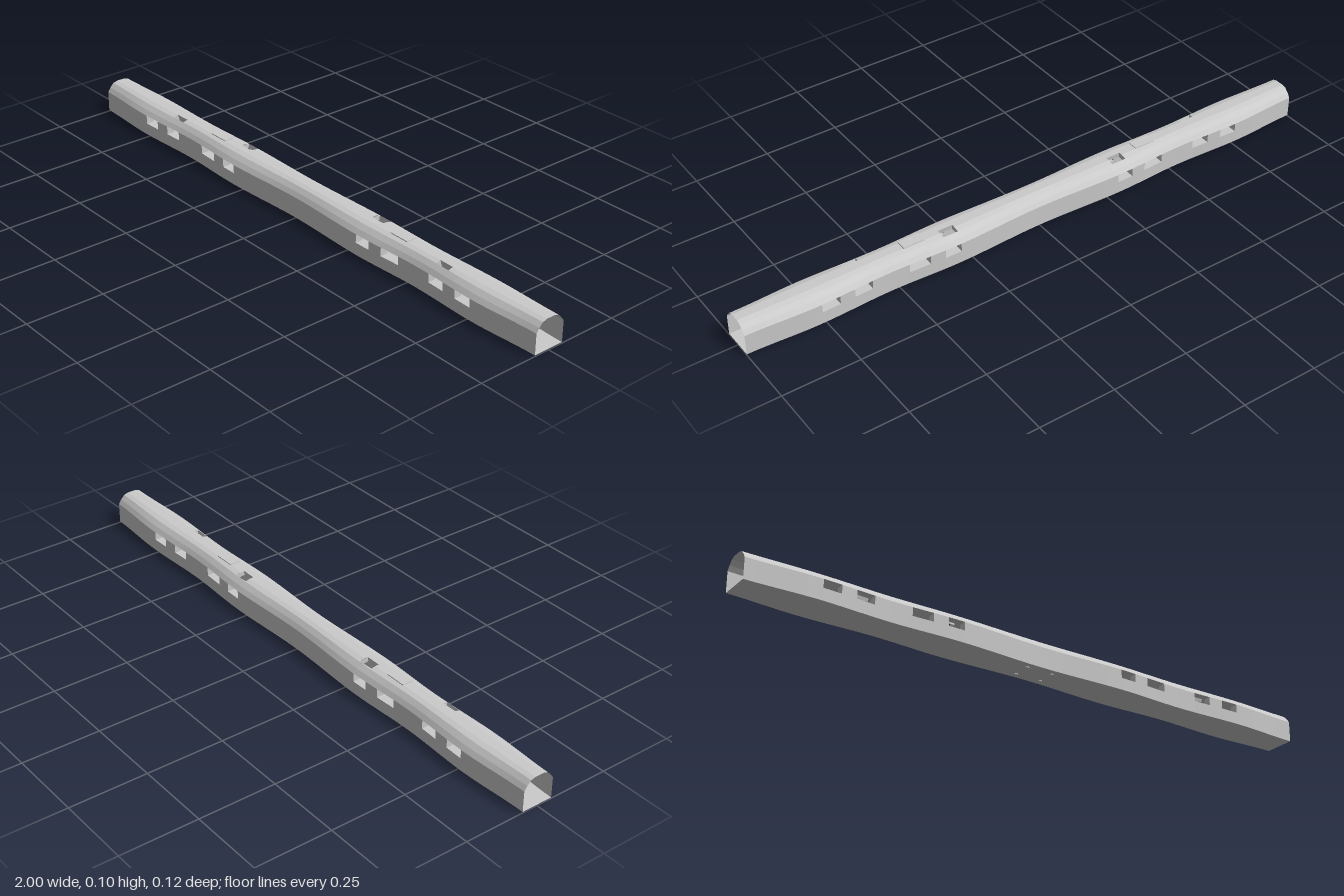
import * as THREE from 'three';

const TOP = 0.1025, SILL = 0.043, SPRING = 0.071;
const grey = new THREE.MeshStandardMaterial({ color: 0xcccccc, side: THREE.DoubleSide });

// Half width of the tunnel along its length (mirrored about x = 0)
const WIDTHS = [[0, 0.052], [0.3, 0.062], [0.53, 0.054], [0.77, 0.062], [1, 0.052]];
function halfWidth(x) {
  const a = Math.abs(x);
  for (let i = 1; i < WIDTHS.length; i++) {
    const [x0, w0] = WIDTHS[i - 1], [x1, w1] = WIDTHS[i];
    if (a <= x1 + 1e-6) return w0 + (w1 - w0) * THREE.MathUtils.smoothstep(a, x0, x1);
  }
  return 0.052;
}

// Arch section: [fraction of half width, height], front foot to back foot
const HALF = [[1, 0.003], [1, SILL], [1, SPRING], [0.82, 0.085], [0.57, 0.098], [0.28, TOP], [0.08, TOP]];
const SECTION = [...HALF, ...HALF.map(([f, y]) => [-f, y]).reverse()];
const N = SECTION.length;
const point = (x, j) => new THREE.Vector3(x, SECTION[j % N][1], SECTION[j % N][0] * halfWidth(x));

// Openings: x range, first and last section strip
const WINDOWS = [[0.29, 0.345], [0.395, 0.465], [0.59, 0.65], [0.70, 0.76]];
const openings = [];
for (const s of [-1, 1]) {
  const add = (name, a, b, j0, j1, depth) =>
    openings.push({ name, x0: Math.min(s * a, s * b), x1: Math.max(s * a, s * b), j0, j1, depth });
  for (const [a, b] of WINDOWS) {
    add('frontWindowReveal', a, b, 1, 2, 0.026);
    add('backWindowReveal', a, b, N - 3, N - 2, 0.026);
  }
  add('frontRoofShaft', 0.595, 0.645, 4, 5, 0.035);
  add('backRoofShaft', 0.285, 0.335, N - 7, N - 5, 0.015);
}

// Long shell, one strip per facet: smooth lengthwise, creased between facets
function shellGeometry() {
  const stations = new Set();
  for (let i = -40; i <= 40; i++) stations.add(i / 40);
  for (const o of openings) stations.add(o.x0).add(o.x1);
  const xs = [...stations].sort((a, b) => a - b);
  const pos = [], index = [];
  for (let j = 0; j < N; j++) {
    const base = pos.length / 3;
    for (const x of xs) pos.push(...point(x, j).toArray(), ...point(x, j + 1).toArray());
    for (let i = 0; i < xs.length - 1; i++) {
      const mid = (xs[i] + xs[i + 1]) / 2;
      if (openings.some(o => mid > o.x0 && mid < o.x1 && j >= o.j0 && j < o.j1)) continue;
      const a = base + 2 * i;
      index.push(a, a + 2, a + 3, a, a + 3, a + 1);
    }
  }
  const g = new THREE.BufferGeometry();
  g.setAttribute('position', new THREE.Float32BufferAttribute(pos, 3));
  g.setIndex(index);
  g.computeVertexNormals();
  return g;
}

// Four thin walls running inward from the rim of an opening
function revealGeometry({ x0, x1, j0, j1, depth }) {
  const rim = [point(x0, j0), point(x1, j0), point(x1, j1), point(x0, j1)];
  const inward = new THREE.Vector3().crossVectors(rim[3].clone().sub(rim[0]), rim[1].clone().sub(rim[0]));
  inward.setX(0).normalize().multiplyScalar(depth);
  const pos = [];
  rim.forEach((a, i) => {
    const b = rim[(i + 1) % 4], c = b.clone().add(inward), d = a.clone().add(inward);
    for (const p of [a, b, c, a, c, d]) pos.push(p.x, p.y, p.z);
  });
  const g = new THREE.BufferGeometry();
  g.setAttribute('position', new THREE.Float32BufferAttribute(pos, 3));
  g.computeVertexNormals();
  return g;
}

export function createModel() {
  const group = new THREE.Group();
  const add = (name, geometry, x = 0, y = 0, z = 0) => {
    const mesh = new THREE.Mesh(geometry, grey);
    mesh.name = name;
    mesh.position.set(x, y, z);
    group.add(mesh);
  };

  add('tunnelShell', shellGeometry());
  for (const o of openings) add(o.name, revealGeometry(o));

  for (const s of [-1, 1]) {
    // Slightly raised roof panel
    add('roofPanel', new THREE.BoxGeometry(0.07, 0.003, 0.036), s * 0.425, TOP + 0.001, 0);
    // Low inner blocks below the outermost windows
    for (const side of [-1, 1])
      add('innerBlock', new THREE.BoxGeometry(0.06, 0.03, 0.02), s * 0.73, 0.019, side * 0.042);
    // Small pads under the floor
    for (const side of [-1, 1])
      add('floorPad', new THREE.BoxGeometry(0.01, 0.003, 0.008), s * 0.045, 0.0015, side * 0.03);
  }

  // Slim post in the middle of the passage
  add('centrePost', new THREE.BoxGeometry(0.003, TOP - 0.003, 0.003), 0, (TOP + 0.003) / 2, 0);
  return group;
}
